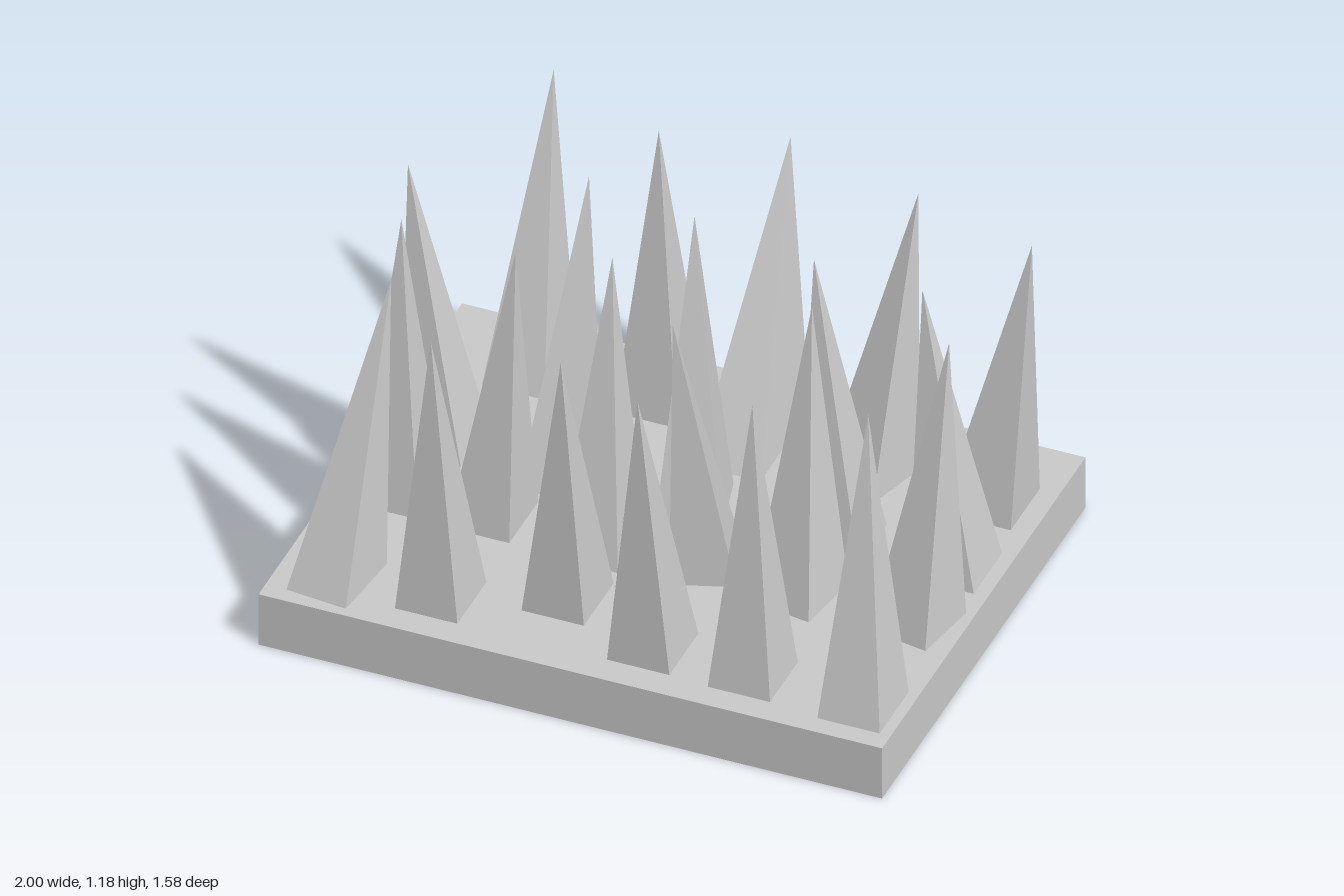
import * as THREE from 'three';

const TOP = 0.185;    // upper face of the slab
const RECESS = 0.07;  // depth of the pockets under the spikes

// Each spike: base x, z, tip x, z, y, base depth, turn in degrees, base width
const backRow = [
  [-0.69, -0.555, -0.695, -0.755, 1.15, 0.25],
  [-0.275, -0.562, -0.275, -0.555, 1.18],
  [0.052, -0.49, 0.05, -0.79, 1.09, 0.38, 0, 0.21],
  [0.44, -0.46, 0.545, -0.585, 1.16, 0.225, 16, 0.205],
  [0.82, -0.472, 0.955, -0.475, 1.16, 0.225, 0, 0.23],
];
const secondRow = [
  [-0.79, -0.135, -0.905, -0.135, 1.165, 0.22],
  [-0.405, -0.11, -0.395, -0.305, 1.15, 0.235, -7],
  [0.018, -0.125, -0.015, -0.205, 1.18, 0.225, -14],
  [0.485, -0.135, 0.395, -0.14, 1.18, 0.22],
  [0.85, -0.135, 0.745, -0.135, 1.17, 0.22, 0, 0.21],
];
const thirdRow = [
  [-0.81, 0.152, -0.81, 0.145, 1.18],
  [-0.512, 0.157, -0.435, 0.165, 1.18],
  [-0.158, 0.172, -0.16, 0.08, 1.18],
  [0.163, 0.14, 0.125, 0.3, 1.16, 0.225, -19],
  [0.477, 0.167, 0.48, 0.08, 1.18, 0.225, 9],
  [0.853, 0.165, 0.92, 0.08, 1.17, 0.225, 10],
];
const frontRow = [
  [-0.82, 0.62, -0.745, 0.38, 1.135, 0.255, 6],
  [-0.5, 0.587, -0.5, 0.665, 1.175],
  [-0.15, 0.45, -0.12, 0.575, 1.14, 0.23],
  [0.178, 0.582, 0.18, 0.705, 1.175],
  [0.505, 0.597, 0.505, 0.6, 1.18, 0.215],
  [0.865, 0.612, 0.835, 0.5, 1.17],
];

// Four base corners [x, z] of a spike, clockwise seen from above
function footprint([x, z, , , , depth = 0.225, turn = 0, width = 0.2]) {
  const a = THREE.MathUtils.degToRad(turn), c = Math.cos(a), s = Math.sin(a);
  return [[-1, -1], [1, -1], [1, 1], [-1, 1]].map(([i, j]) => {
    const u = i * width / 2, v = j * depth / 2;
    return [x + u * c - v * s, z + u * s + v * c];
  });
}

// Leaning four-sided spike, with a floor that closes the pocket below it
function spikeGeometry(spec) {
  const corners = footprint(spec);
  const tip = [spec[2], spec[4], spec[3]];
  const at = (i, y) => [corners[i % 4][0], y, corners[i % 4][1]];
  const points = [];
  for (let i = 0; i < 4; i++) points.push(...at(i + 1, TOP), ...at(i, TOP), ...tip);
  for (const i of [0, 1, 2, 0, 2, 3]) points.push(...at(i, RECESS));
  const geometry = new THREE.BufferGeometry();
  geometry.setAttribute('position', new THREE.Float32BufferAttribute(points, 3));
  geometry.computeVertexNormals();
  return geometry;
}

export function createModel() {
  const model = new THREE.Group();
  model.name = 'spikeBoard';
  const material = new THREE.MeshStandardMaterial({ color: 0xcccccc, flatShading: true });
  const specs = [...backRow, ...secondRow, ...thirdRow, ...frontRow];

  // Slab with a pocket under every spike
  const outline = new THREE.Shape([[-1, -0.78], [1, -0.78], [1, 0.79], [-1, 0.79]]
    .map(([x, z]) => new THREE.Vector2(x, z)));
  for (const spec of specs) {
    outline.holes.push(new THREE.Path(footprint(spec).map(([x, z]) => new THREE.Vector2(x, z))));
  }
  const slabGeometry = new THREE.ExtrudeGeometry(outline, { depth: TOP, bevelEnabled: false });
  slabGeometry.rotateX(Math.PI / 2).translate(0, TOP, 0);
  const slab = new THREE.Mesh(slabGeometry, material);
  slab.name = 'slab';
  model.add(slab);

  // Spikes
  const spikes = new THREE.Group();
  spikes.name = 'spikes';
  specs.forEach((spec, i) => {
    const spike = new THREE.Mesh(spikeGeometry(spec), material);
    spike.name = `spike${i + 1}`;
    spikes.add(spike);
  });
  model.add(spikes);
  return model;
}
